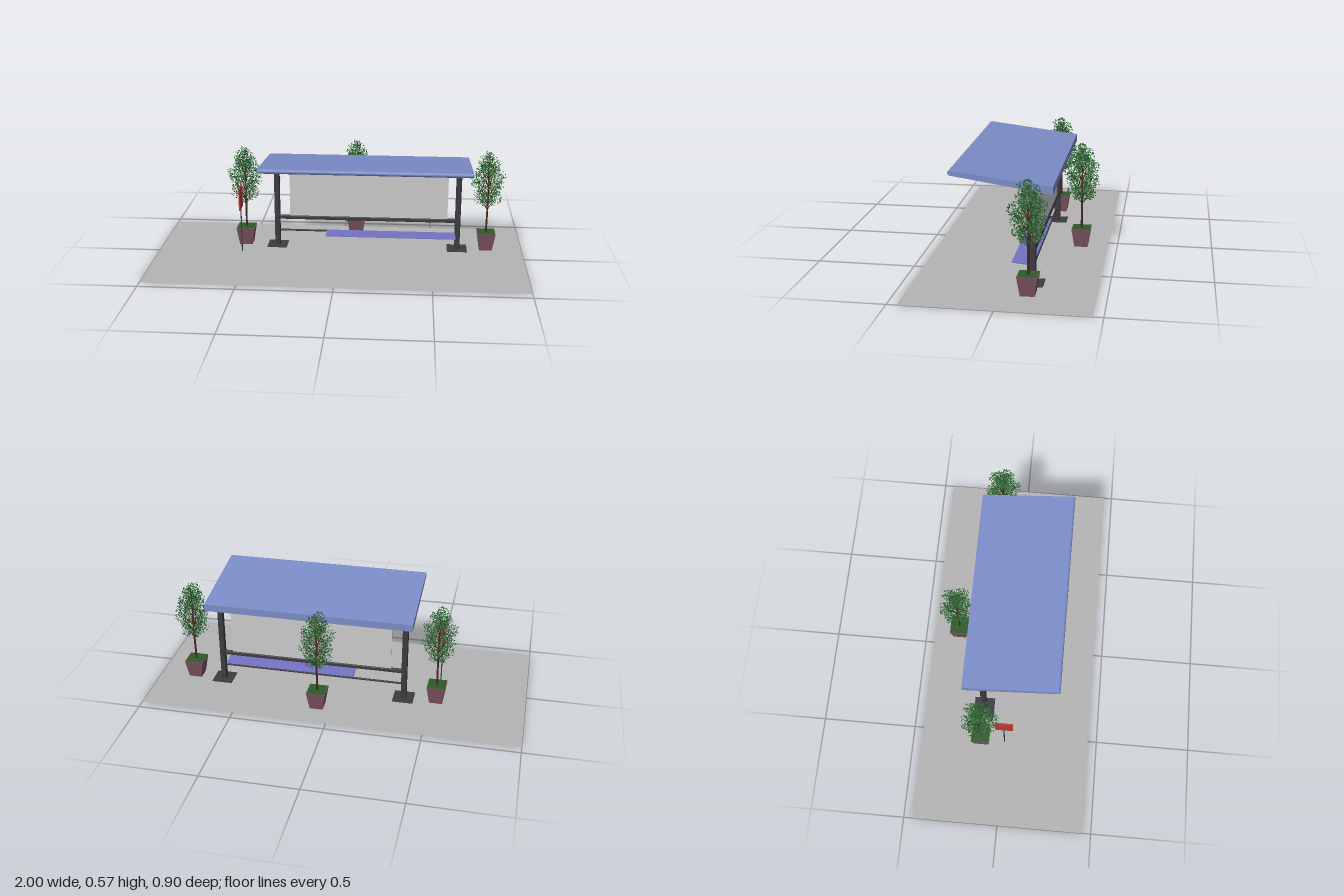
import * as THREE from 'three';
import { RoundedBoxGeometry } from 'three/addons/geometries/RoundedBoxGeometry.js';
import { mergeGeometries } from 'three/addons/utils/BufferGeometryUtils.js';

const paint = (color, side = THREE.FrontSide) => new THREE.MeshStandardMaterial({ color, side });
const BLUE = paint(0x7b8cc8);
const BENCH = paint(0x7474c4);
const STEEL = paint(0x3c3c40);
const RED = paint(0xbb3a35);
const POT = paint(0x7b5260);
const BARK = paint(0x4d2c20);
const SOIL = paint(0x2c5a26, THREE.DoubleSide);
const LEAF = paint(0x2f6b35, THREE.DoubleSide);
const GLASS = paint(0xcccccc);
const PAVING = paint(0xb4b4b4, THREE.DoubleSide);

function add(parent, name, geometry, material, x = 0, y = 0, z = 0) {
  const mesh = new THREE.Mesh(geometry, material);
  mesh.name = name;
  mesh.position.set(x, y, z);
  parent.add(mesh);
  return mesh;
}

// Side profile given as a (z, y) shape, stretched from x0 to x1
function alongX(shape, x0, x1) {
  const g = new THREE.ExtrudeGeometry(shape, { depth: x1 - x0, bevelEnabled: false, curveSegments: 10 });
  return g.rotateY(-Math.PI / 2).translate(x1, 0, 0);
}

function seeded(seed) {
  return () => (seed = (seed * 16807) % 2147483647) / 2147483647;
}

// Tapered limb between two points
function limb(a, b, r0, r1) {
  const dir = b.clone().sub(a);
  const g = new THREE.CylinderGeometry(r1, r0, dir.length(), 6);
  g.applyQuaternion(new THREE.Quaternion().setFromUnitVectors(new THREE.Vector3(0, 1, 0), dir.normalize()));
  return g.translate((a.x + b.x) / 2, (a.y + b.y) / 2, (a.z + b.z) / 2);
}

// Wood and leaves of one tree: a trunk with tiers of rising branches, leaves scattered in clumps
function treeGeometry() {
  const rand = seeded(4711);
  const wood = [limb(new THREE.Vector3(0, 0.1, 0), new THREE.Vector3(0.003, 0.3, 0), 0.006, 0.005),
    limb(new THREE.Vector3(0.003, 0.3, 0), new THREE.Vector3(0, 0.54, 0), 0.005, 0.001)];
  const clumps = [];
  // tier: trunk height, tip height, tip radius, branch count, turn
  const tiers = [
    [0.24, 0.31, 0.05, 5, 0.3], [0.27, 0.37, 0.065, 5, 0.9], [0.31, 0.43, 0.072, 5, 0.3],
    [0.36, 0.47, 0.045, 4, 0.9], [0.4, 0.515, 0.03, 4, 0.2],
  ];
  for (const [y0, y1, r, n, turn] of tiers) {
    for (let i = 0; i < n; i++) {
      const a = turn + (i / n) * Math.PI * 2 + (rand() - 0.5) * 0.3;
      const base = new THREE.Vector3(0, y0, 0);
      const tip = new THREE.Vector3(Math.cos(a) * r, y1 + (rand() - 0.5) * 0.02, Math.sin(a) * r);
      wood.push(limb(base, tip, 0.0022, 0.0007));
      clumps.push([tip, 0.03, 0.038, 62]);
      clumps.push([base.clone().lerp(tip, 0.62), 0.02, 0.03, 24]);
    }
  }
  clumps.push([new THREE.Vector3(0, 0.54, 0), 0.022, 0.036, 70]);
  clumps.push([new THREE.Vector3(0, 0.47, 0), 0.04, 0.05, 130]);

  const pos = [];
  const index = [];
  const spin = new THREE.Euler();
  const p = new THREE.Vector3();
  for (const [c, rxz, ry, count] of clumps) {
    for (let i = 0; i < count; i++) {
      const u = rand() * 2 - 1, t = rand() * Math.PI * 2, rad = Math.cbrt(rand());
      const s = Math.sqrt(1 - u * u) * rad * rxz;
      spin.set(rand() * 6.28, rand() * 6.28, rand() * 6.28);
      const first = pos.length / 3;
      for (const [lx, ly] of [[-0.0055, 0], [0, -0.0035], [0.0055, 0], [0, 0.0035]]) {
        p.set(lx, ly, 0).applyEuler(spin);
        pos.push(c.x + Math.cos(t) * s + p.x, c.y + u * rad * ry + p.y, c.z + Math.sin(t) * s + p.z);
      }
      index.push(first, first + 1, first + 2, first, first + 2, first + 3);
    }
  }
  const leaves = new THREE.BufferGeometry();
  leaves.setAttribute('position', new THREE.Float32BufferAttribute(pos, 3));
  leaves.setIndex(index);
  leaves.computeVertexNormals();
  return { wood: mergeGeometries(wood), leaves };
}

// Square pot, wider at the rim
function potGeometry() {
  const g = new THREE.CylinderGeometry(0.05 * Math.SQRT2, 0.035 * Math.SQRT2, 0.098, 4).toNonIndexed();
  g.rotateY(Math.PI / 4);
  g.computeVertexNormals();
  return g;
}

export function createModel() {
  const model = new THREE.Group();
  model.name = 'busShelter';

  add(model, 'pavement', new THREE.PlaneGeometry(2, 0.904).rotateX(-Math.PI / 2), PAVING);

  // Sloping roof with a rounded front edge
  const roof = new THREE.Shape();
  roof.moveTo(-0.23, 0.466);
  roof.lineTo(0.258, 0.539);
  roof.bezierCurveTo(0.276, 0.542, 0.276, 0.565, 0.258, 0.563);
  roof.lineTo(-0.23, 0.504);
  roof.closePath();
  add(model, 'roof', alongX(roof, -0.405, 0.695), BLUE);

  // Frame: two posts on base plates, joined by rails
  for (const x of [-0.357, 0.643]) {
    add(model, 'post', new RoundedBoxGeometry(0.03, 0.478, 0.03, 3, 0.006), STEEL, x, 0.244, -0.13);
    add(model, 'basePlate', new THREE.BoxGeometry(0.11, 0.002, 0.11), STEEL, x, 0.005, -0.13);
  }
  for (const [name, y, t] of [['topRail', 0.471, 0.02], ['middleRail', 0.167, 0.02], ['seatRail', 0.09, 0.009]]) {
    add(model, name, new RoundedBoxGeometry(0.98, t, t, 2, t / 5), STEEL, 0.143, y, -0.13);
  }
  add(model, 'backPanel', new THREE.BoxGeometry(0.872, 0.29, 0.006), GLASS, 0.15, 0.318, -0.13);

  // Thin wedge-shaped seat
  const seat = new THREE.Shape();
  seat.moveTo(-0.13, 0.086);
  seat.lineTo(-0.022, 0.097);
  seat.lineTo(-0.022, 0.1);
  seat.lineTo(-0.13, 0.097);
  seat.closePath();
  add(model, 'benchSeat', alongX(seat, -0.08, 0.63), BENCH);

  // Sign facing along the pavement
  add(model, 'signPole', new THREE.CylinderGeometry(0.003, 0.003, 0.256, 10), STEEL, -0.54, 0.133, -0.002);
  add(model, 'signPlate', new THREE.BoxGeometry(0.006, 0.122, 0.095), RED, -0.54, 0.317, -0.002);

  // Potted trees
  const { wood, leaves } = treeGeometry();
  const pot = potGeometry();
  const soil = new THREE.PlaneGeometry(0.094, 0.094).rotateX(-Math.PI / 2);
  for (const [x, z] of [[-0.533, -0.13], [0.8, -0.13], [0.075, -0.31]]) {
    const tree = new THREE.Group();
    tree.name = 'pottedTree';
    tree.position.set(x, 0, z);
    add(tree, 'pot', pot, POT, 0, 0.059, 0);
    add(tree, 'soil', soil, SOIL, 0, 0.1095, 0);
    add(tree, 'trunk', wood, BARK);
    add(tree, 'leaves', leaves, LEAF);
    model.add(tree);
  }
  return model;
}
